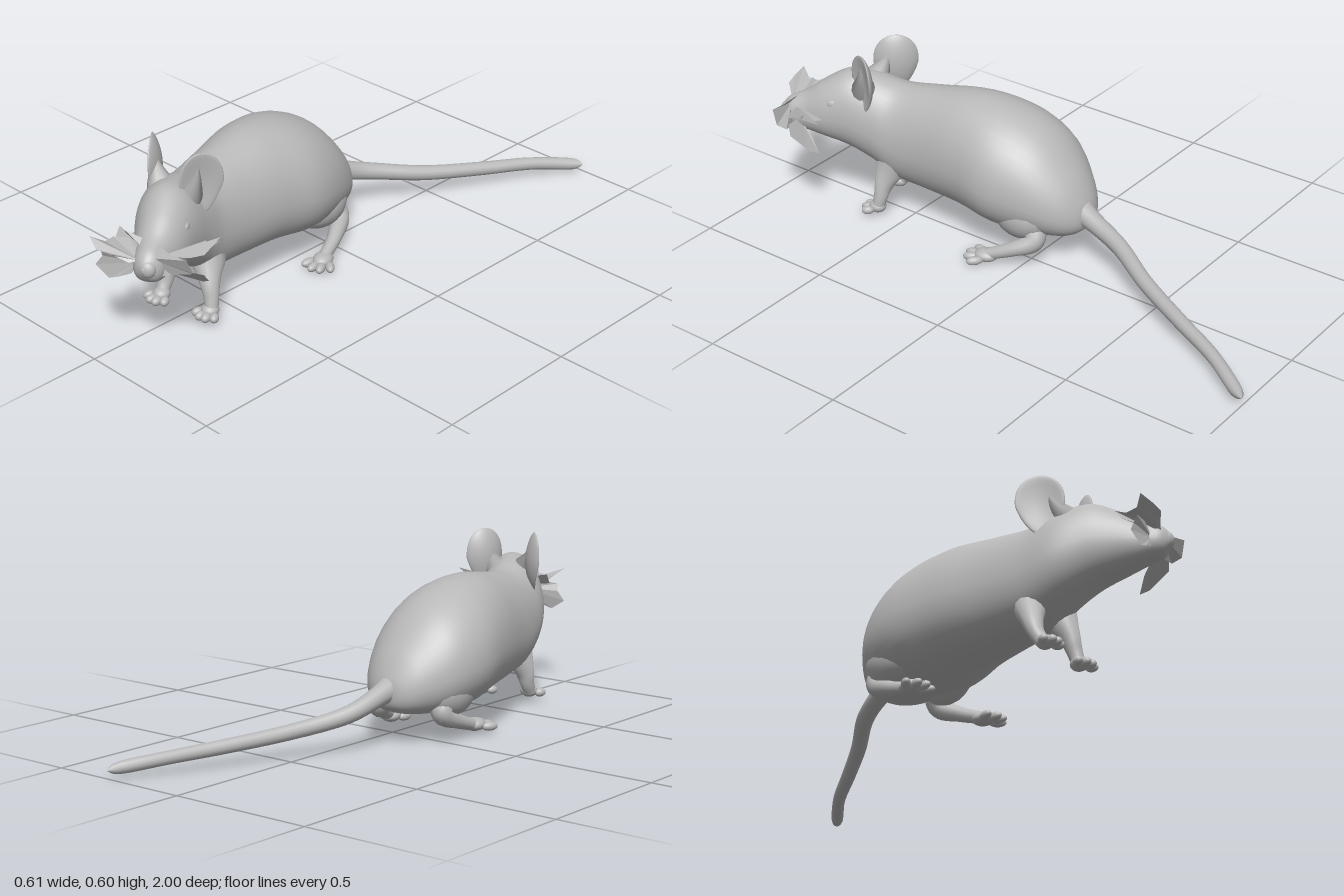
import * as THREE from 'three';

const fur = new THREE.MeshStandardMaterial({ color: 0xb8b8b8, side: THREE.DoubleSide });
fur.name = 'grey';

function add(parent, name, geometry) {
  const mesh = new THREE.Mesh(geometry, fur);
  mesh.name = name;
  parent.add(mesh);
  return mesh;
}

// Smooth blob: ellipsoid at p with radii s and yaw
function blob(parent, name, p, s, yaw = 0) {
  const mesh = add(parent, name, new THREE.SphereGeometry(1, 20, 14));
  mesh.position.set(...p);
  mesh.scale.set(...s);
  mesh.rotation.y = yaw;
}

// Smoothly sample rows of numbers
function sample(rows, t) {
  const n = rows.length - 1, k = Math.min(Math.floor(t * n), n - 1), f = t * n - k;
  const row = (i) => rows[Math.max(0, Math.min(n, i))];
  return rows[0].map((_, c) => {
    const [a, b, d, e] = [row(k - 1)[c], row(k)[c], row(k + 1)[c], row(k + 2)[c]];
    return b + 0.5 * f * (d - a + f * (2 * a - 5 * b + 4 * d - e + f * (3 * (b - d) + e - a)));
  });
}

// Tapered limb through rows of x, y, z, radius
function limb(parent, name, rows, steps = 32) {
  class Path extends THREE.Curve {
    getPoint(t, target = new THREE.Vector3()) {
      return target.set(...sample(rows, t).slice(0, 3));
    }
    getPointAt(t, target) { return this.getPoint(t, target); }
  }
  const path = new Path(), sides = 14;
  const geo = new THREE.TubeGeometry(path, steps, 1, sides, false);
  const pos = geo.attributes.position, v = new THREE.Vector3();
  for (let i = 0; i < pos.count; i++) {
    const t = Math.floor(i / (sides + 1)) / steps, c = path.getPoint(t);
    v.fromBufferAttribute(pos, i).sub(c).multiplyScalar(Math.max(0.0005, sample(rows, t)[3])).add(c);
    pos.setXYZ(i, v.x, v.y, v.z);
  }
  add(parent, name, geo);
}

// Body and head sections: centre x, centre z, yaw, half width, bottom, top
const sections = [
  [-0.1, -0.165, 0, 0.004, 0.17, 0.18],
  [-0.1, -0.15, 0, 0.065, 0.125, 0.235],
  [-0.1, -0.1, 0, 0.125, 0.1, 0.32],
  [-0.105, 0, 0, 0.185, 0.09, 0.425],
  [-0.095, 0.13, 0, 0.21, 0.09, 0.487],
  [-0.08, 0.28, 0.05, 0.182, 0.11, 0.507],
  [-0.055, 0.44, 0.12, 0.147, 0.12, 0.487],
  [-0.03, 0.56, 0.25, 0.13, 0.135, 0.475],
  [0, 0.65, 0.42, 0.122, 0.185, 0.498],
  [0.048, 0.73, 0.5, 0.104, 0.235, 0.51],
  [0.095, 0.8, 0.52, 0.083, 0.265, 0.472],
  [0.13, 0.86, 0.52, 0.06, 0.285, 0.425],
  [0.16, 0.91, 0.52, 0.043, 0.302, 0.398],
  [0.176, 0.938, 0.52, 0.004, 0.345, 0.36],
];

function bodyGeometry(rings = 78, sides = 40) {
  const pos = [], index = [];
  for (let j = 0; j <= rings; j++) {
    const [cx, cz, yaw, w, yb, yt] = sample(sections, j / rings);
    const mid = yb + (yt - yb) * 0.42;
    for (let i = 0; i < sides; i++) {
      const a = (i / sides) * Math.PI * 2, s = Math.sin(a), c = Math.cos(a);
      // Belly a little squarer than the back
      const side = s < 0 ? Math.sign(c) * Math.pow(Math.abs(c), 0.72) : c;
      pos.push(cx + Math.cos(yaw) * side * w, mid + s * (s > 0 ? yt - mid : mid - yb), cz - Math.sin(yaw) * side * w);
      if (j < rings) {
        const p = j * sides + i, q = j * sides + ((i + 1) % sides);
        index.push(p, q, p + sides, q, q + sides, p + sides);
      }
    }
  }
  const geo = new THREE.BufferGeometry();
  geo.setAttribute('position', new THREE.Float32BufferAttribute(pos, 3));
  geo.setIndex(index);
  geo.computeVertexNormals();
  return geo;
}

// Thin cupped ear, narrowing to its root
function ear(parent, name, p, yaw, width) {
  const geo = new THREE.SphereGeometry(1, 32, 24), pos = geo.attributes.position;
  for (let i = 0; i < pos.count; i++) {
    const y = pos.getY(i), x = pos.getX(i) * width * (y < 0 ? 1 + 0.35 * y : 1 + 0.12 * y);
    const cup = 0.022 * (1 - Math.min(1, (x / width) ** 2 + y * y * 0.8));
    pos.setXYZ(i, x, y * 0.102, pos.getZ(i) * 0.013 - cup);
  }
  geo.computeVertexNormals();
  const mesh = add(parent, name, geo);
  mesh.position.set(...p);
  mesh.rotation.y = yaw;
}

// Paw: pad with four splayed toes
function paw(parent, name, p, yaw, length, spread) {
  const g = new THREE.Group();
  g.name = name;
  g.position.set(...p);
  g.rotation.y = yaw;
  blob(g, 'pad', [0, 0, 0], [spread * 0.65, 0.022, length * 0.6]);
  for (let i = 0; i < 4; i++) {
    const k = (i - 1.5) / 1.5, z = length * (0.72 - 0.3 * k * k);
    blob(g, 'toe', [k * spread * 0.75, -0.007, z], [0.015, 0.015, length * 0.42], k * 0.5);
  }
  parent.add(g);
}

// Ragged whisker tuft: fan of flat facets from a root
function tuft(parent, name, root, rim) {
  const pos = [];
  for (let i = 0; i < rim.length - 1; i++) pos.push(...root, ...rim[i], ...rim[i + 1]);
  const geo = new THREE.BufferGeometry();
  geo.setAttribute('position', new THREE.Float32BufferAttribute(pos, 3));
  geo.computeVertexNormals();
  add(parent, name, geo);
}

export function createModel() {
  const model = new THREE.Group();
  model.name = 'rodent';
  add(model, 'body', bodyGeometry());

  limb(model, 'tail', [
    [-0.1, 0.2, -0.1, 0.06], [-0.092, 0.172, -0.17, 0.036], [-0.065, 0.125, -0.31, 0.029],
    [0.02, 0.09, -0.47, 0.026], [0.11, 0.068, -0.66, 0.024], [0.19, 0.053, -0.83, 0.022],
    [0.275, 0.033, -0.965, 0.02], [0.296, 0.026, -1, 0],
  ], 70);

  // Ears, with webs blending them into the skull
  ear(model, 'rightEar', [-0.104, 0.5, 0.655], -0.82, 0.077);
  ear(model, 'leftEar', [0.102, 0.5, 0.635], 1.14, 0.07);
  limb(model, 'rightEarRoot', [[0, 0.445, 0.69, 0.05], [-0.035, 0.47, 0.68, 0.042], [-0.065, 0.515, 0.668, 0.018], [-0.08, 0.56, 0.66, 0]]);
  limb(model, 'leftEarRoot', [[0.055, 0.445, 0.665, 0.05], [0.07, 0.47, 0.655, 0.042], [0.087, 0.515, 0.645, 0.018], [0.096, 0.56, 0.64, 0]]);

  // Face
  blob(model, 'rightEye', [0.012, 0.41, 0.802], [0.008, 0.016, 0.02], 0.52);
  blob(model, 'leftEye', [0.142, 0.41, 0.733], [0.008, 0.016, 0.02], 0.52);
  blob(model, 'nose', [0.17, 0.352, 0.917], [0.027, 0.028, 0.022], 0.52);

  // Whisker tufts on both sides of the snout
  tuft(model, 'rightUpperTuft', [0.13, 0.39, 0.89],
    [[0.11, 0.41, 0.87], [0.055, 0.43, 0.9], [0.045, 0.415, 0.89], [0, 0.415, 0.875], [0.005, 0.38, 0.9], [0.06, 0.37, 0.92], [0.11, 0.36, 0.92]]);
  tuft(model, 'rightLowerTuft', [0.12, 0.35, 0.905],
    [[0.07, 0.38, 0.93], [0.01, 0.37, 0.96], [0.005, 0.345, 0.95], [-0.018, 0.31, 0.96], [0.03, 0.278, 0.95], [0.06, 0.29, 0.94], [0.1, 0.31, 0.92]]);
  tuft(model, 'rightFrontTuft', [0.14, 0.37, 0.92],
    [[0.06, 0.405, 0.89], [0.01, 0.395, 0.91], [0.02, 0.4, 0.95], [0, 0.425, 0.99], [0.04, 0.4, 1], [0.085, 0.395, 0.985], [0.08, 0.38, 0.965], [0.12, 0.365, 0.945]]);
  tuft(model, 'leftFrontTuft', [0.165, 0.38, 0.9],
    [[0.165, 0.415, 0.87], [0.23, 0.405, 0.875], [0.29, 0.41, 0.87], [0.295, 0.36, 0.85], [0.27, 0.34, 0.83], [0.21, 0.325, 0.86], [0.18, 0.32, 0.9]]);
  tuft(model, 'leftUpperTuft', [0.17, 0.375, 0.87],
    [[0.19, 0.375, 0.8], [0.21, 0.385, 0.72], [0.235, 0.38, 0.75], [0.25, 0.39, 0.7], [0.27, 0.4, 0.76], [0.285, 0.43, 0.73], [0.29, 0.4, 0.8], [0.26, 0.39, 0.83]]);
  tuft(model, 'leftLowerTuft', [0.165, 0.33, 0.87],
    [[0.25, 0.345, 0.84], [0.285, 0.33, 0.8], [0.25, 0.275, 0.75], [0.215, 0.253, 0.74], [0.19, 0.29, 0.79]]);

  // Front legs
  limb(model, 'rightFrontLeg', [[-0.05, 0.28, 0.54, 0.03], [-0.082, 0.2, 0.57, 0.056], [-0.1, 0.135, 0.6, 0.037], [-0.1, 0.085, 0.617, 0.026], [-0.095, 0.045, 0.64, 0.022]]);
  limb(model, 'leftFrontLeg', [[0.02, 0.28, 0.53, 0.03], [0.038, 0.2, 0.56, 0.056], [0.062, 0.135, 0.58, 0.037], [0.076, 0.085, 0.587, 0.026], [0.085, 0.04, 0.595, 0.022]]);
  paw(model, 'rightFrontPaw', [-0.09, 0.042, 0.648], 0.1, 0.05, 0.042);
  paw(model, 'leftFrontPaw', [0.084, 0.035, 0.6], 0.15, 0.05, 0.043);

  // Hind legs
  blob(model, 'rightThigh', [-0.205, 0.165, 0.035], [0.075, 0.085, 0.105]);
  blob(model, 'leftThigh', [0.005, 0.165, 0.035], [0.075, 0.085, 0.105]);
  limb(model, 'rightHindLeg', [[-0.205, 0.16, 0.01, 0.05], [-0.224, 0.1, -0.02, 0.036], [-0.228, 0.065, 0.05, 0.025], [-0.224, 0.035, 0.14, 0.02]]);
  limb(model, 'leftHindLeg', [[0.005, 0.16, 0, 0.05], [0.03, 0.095, -0.03, 0.036], [0.07, 0.06, 0.03, 0.025], [0.1, 0.028, 0.11, 0.02]]);
  paw(model, 'rightHindPaw', [-0.221, 0.034, 0.155], 0, 0.068, 0.054);
  paw(model, 'leftHindPaw', [0.1, 0.023, 0.115], 0.35, 0.068, 0.05);
  return model;
}
